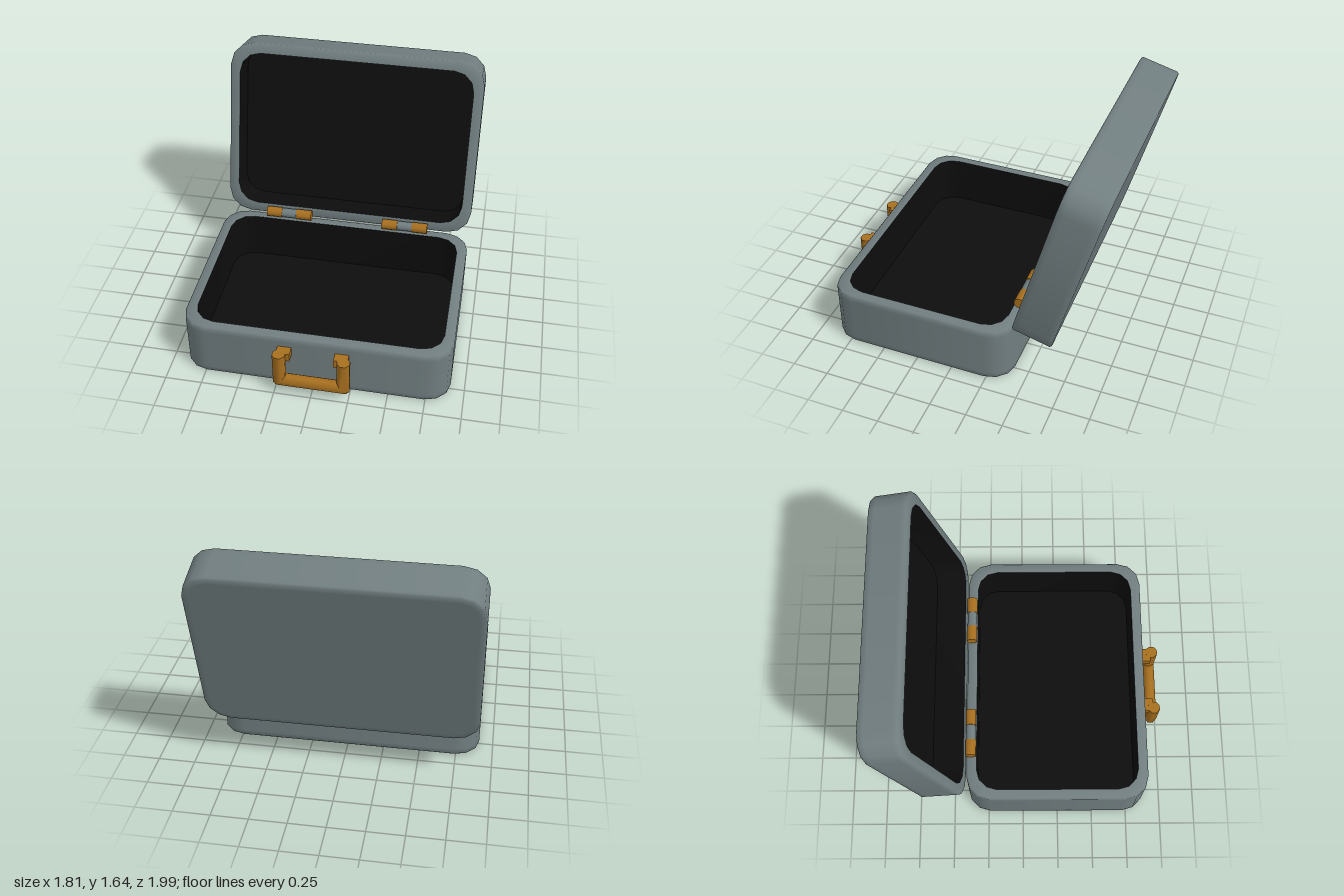
import * as THREE from 'three';
import { toCreasedNormals } from 'three/addons/utils/BufferGeometryUtils.js';

const mat = (name, color) => {
  const m = new THREE.MeshStandardMaterial({ color });
  m.name = name;
  return m;
};

// Skin a series of equal-length closed rings, with optional fan caps
function loft(rings, capStart, capEnd, crease = 0.9) {
  const n = rings[0].length;
  const pos = [];
  const tri = (...pts) => pts.forEach((p) => pos.push(p.x, p.y, p.z));
  const centre = (ring) =>
    ring.reduce((sum, p) => sum.add(p), new THREE.Vector3()).divideScalar(n);
  for (let r = 0; r < rings.length - 1; r++) {
    for (let i = 0; i < n; i++) {
      const j = (i + 1) % n;
      const a = rings[r], b = rings[r + 1];
      tri(a[i], b[i], a[j]);
      tri(a[j], b[i], b[j]);
    }
  }
  const first = rings[0], last = rings[rings.length - 1];
  for (let i = 0; i < n; i++) {
    const j = (i + 1) % n;
    if (capStart) tri(centre(first), first[i], first[j]);
    if (capEnd) tri(centre(last), last[j], last[i]);
  }
  const geo = new THREE.BufferGeometry();
  geo.setAttribute('position', new THREE.Float32BufferAttribute(pos, 3));
  return toCreasedNormals(geo, crease);
}

// Rounded rectangle in the xz plane, three segments per corner
function roundedRing(halfW, halfD, radius, y) {
  const ring = [];
  for (let q = 0; q < 4; q++) {
    const sx = q === 0 || q === 3 ? 1 : -1;
    const sz = q < 2 ? 1 : -1;
    for (let k = 0; k <= 3; k++) {
      const a = (q + k / 3) * Math.PI / 2;
      ring.push(new THREE.Vector3(
        sx * (halfW - radius) + radius * Math.cos(a), y,
        sz * (halfD - radius) + radius * Math.sin(a)));
    }
  }
  return ring;
}

const W = 0.905, D = 0.6425, R = 0.165, WALL = 0.07;

// Open tray: softly bevelled shell with a dark lining
function tray(name, height, floor, shellMat, liningMat) {
  const group = new THREE.Group();
  group.name = name;
  const outer = (inset, y) => roundedRing(W - inset, D - inset, R - inset, y);
  const inner = (y) => roundedRing(W - WALL, D - WALL, 0.145, y);
  const shell = new THREE.Mesh(loft([
    outer(0.045, 0), outer(0.01, 0), outer(0, 0.01), outer(0, 0.045),
    outer(0, height - 0.045), outer(0, height - 0.01), outer(0.01, height),
    inner(height),
  ], true, false), shellMat);
  shell.name = name + 'Shell';
  const lining = new THREE.Mesh(
    loft([inner(height), inner(floor)], false, true), liningMat);
  lining.name = name + 'Lining';
  group.add(shell, lining);
  return group;
}

// U-shaped handle with an octagonal section and chamfered lower corners
function handleGeometry() {
  const cx = 0.215, cy = 0.1, top = 0.33, zc = 0.9575;
  const half = 0.0415 / Math.cos(Math.PI / 8);
  const section = [];
  for (let i = 0; i < 8; i++) {
    const a = (i + 0.5) * Math.PI / 4;
    section.push([half * Math.cos(a), half * Math.sin(a)]);
  }
  const ring = (f) => section.map(([s, d]) => {
    const [x, y] = f(s, Math.max(0, s) * 0.5);
    return new THREE.Vector3(x, y, zc + d);
  });
  return loft([
    ring((s) => [-cx - s, top]),
    ring((s, k) => [-cx - s, cy - s + k]),
    ring((s, k) => [-cx - s + k, cy - s]),
    ring((s, k) => [cx + s - k, cy - s]),
    ring((s, k) => [cx + s, cy - s + k]),
    ring((s) => [cx + s, top]),
  ], true, true);
}

export function createModel() {
  const grey = mat('slateGrey', 0x717e80);
  const black = mat('blackLining', 0x0d0d0d);
  const brass = mat('brass', 0xa87020);
  const model = new THREE.Group();
  model.name = 'openCase';

  // Lower half
  const base = tray('base', 0.405, 0.05, grey, black);
  base.position.z = 0.2425;
  model.add(base);

  // Lid, leaning back 15 degrees from its hinge line
  const hinge = new THREE.Group();
  hinge.name = 'lidPivot';
  hinge.position.set(0, 0.405, -0.4);
  hinge.rotation.x = THREE.MathUtils.degToRad(75);
  const lid = tray('lid', 0.275, 0.05, grey, black);
  lid.position.set(0, -0.275, -D);
  hinge.add(lid);
  model.add(hinge);

  // Hinge barrels: brass knuckles either side of a grey one
  const barrel = (name, x, length, radius, material) => {
    const geo = new THREE.CylinderGeometry(radius, radius, length, 8);
    geo.rotateY(Math.PI / 8).rotateZ(Math.PI / 2);
    const mesh = new THREE.Mesh(geo, material);
    mesh.name = name;
    mesh.position.set(x, 0.44, -0.37);
    model.add(mesh);
  };
  for (const side of [-1, 1]) {
    barrel('outerKnuckle', side * 0.543, 0.113, 0.039, brass);
    barrel('middleKnuckle', side * 0.433, 0.107, 0.036, grey);
    barrel('innerKnuckle', side * 0.322, 0.113, 0.039, brass);
  }

  // Handle and its mounting pegs
  const handle = new THREE.Mesh(handleGeometry(), brass);
  handle.name = 'handle';
  model.add(handle);
  for (const side of [-1, 1]) {
    const peg = new THREE.Mesh(new THREE.BoxGeometry(0.093, 0.062, 0.07), brass);
    peg.name = 'handlePeg';
    peg.position.set(side * 0.192, 0.298, 0.915);
    model.add(peg);
  }
  return model;
}
